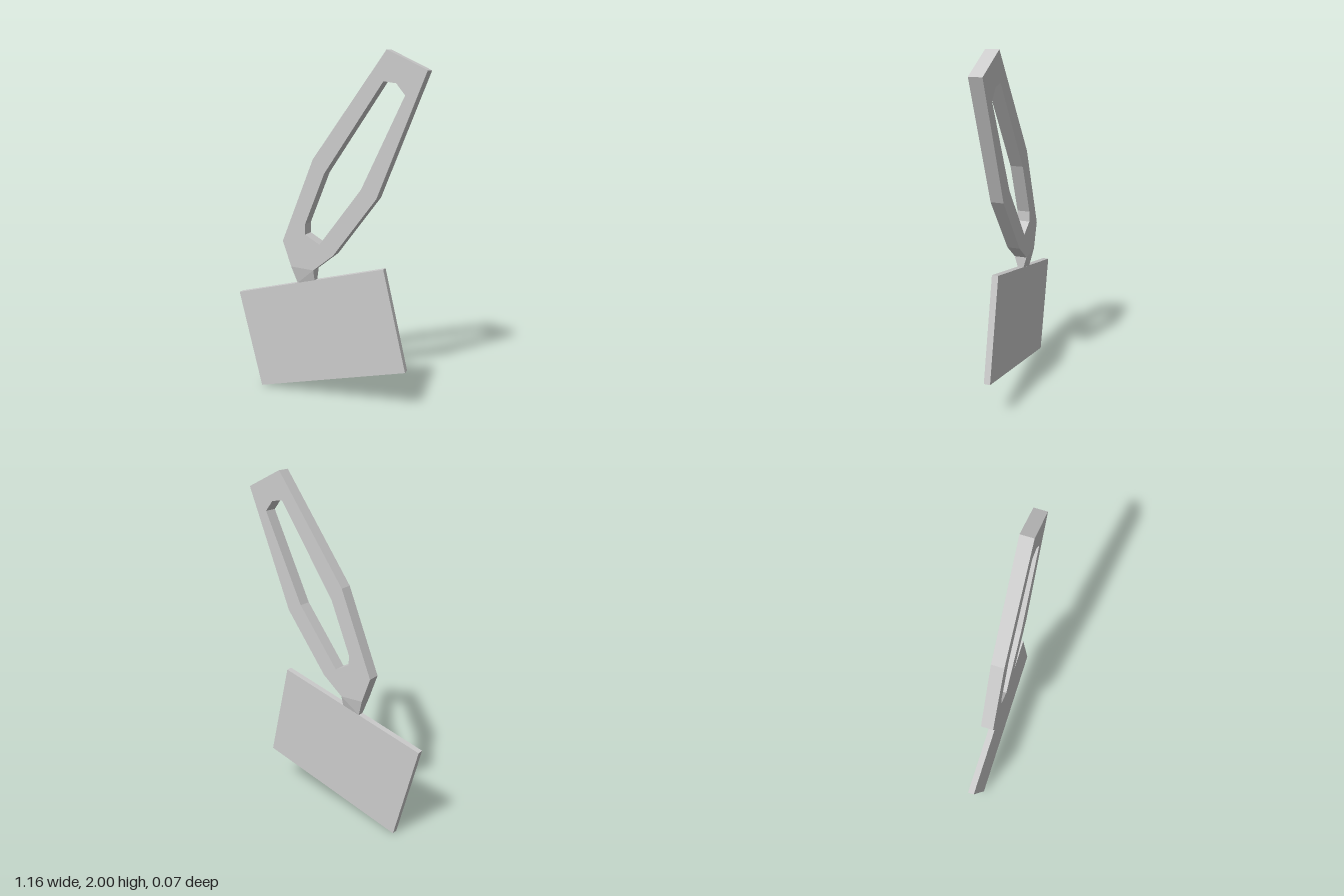
import * as THREE from 'three';

const grey = new THREE.MeshStandardMaterial({ color: 0xcccccc, flatShading: true });
const points = (list) => list.map(([x, y]) => new THREE.Vector2(x, y));

// Flat plate with an outline, optional hole, centred on z = 0
function plate(name, outline, depth, hole) {
  const shape = new THREE.Shape(points(outline));
  if (hole) shape.holes.push(new THREE.Path(points(hole)));
  const geometry = new THREE.ExtrudeGeometry(shape, { depth, bevelEnabled: false });
  geometry.translate(0, 0, -depth / 2);
  const mesh = new THREE.Mesh(geometry, grey);
  mesh.name = name;
  return mesh;
}

// Tapered block joining a lower edge to an upper edge, each [left, right, halfDepth]
function taper(name, lower, upper) {
  const ring = ([[xl, yl], [xr, yr], z]) =>
    [[xl, yl, z], [xr, yr, z], [xr, yr, -z], [xl, yl, -z]];
  const b = ring(lower), t = ring(upper), tris = [];
  for (let i = 0; i < 4; i++) {
    const j = (i + 1) % 4;
    // the back mirrors the front's diagonal
    if (i === 2) tris.push(b[i], b[j], t[i], b[j], t[j], t[i]);
    else tris.push(b[i], b[j], t[j], b[i], t[j], t[i]);
  }
  const geometry = new THREE.BufferGeometry();
  geometry.setAttribute('position', new THREE.Float32BufferAttribute(tris.flat(), 3));
  geometry.computeVertexNormals();
  const mesh = new THREE.Mesh(geometry, grey);
  mesh.name = name;
  return mesh;
}

export function createModel() {
  const model = new THREE.Group();
  model.name = 'cleaver';
  const handleDepth = 0.072, bladeDepth = 0.036;

  // Tilted rectangular blade
  model.add(plate('blade',
    [[-0.435, 0], [0.49, 0.25], [0.35, 0.83], [-0.58, 0.58]], bladeDepth));

  // Angular handle with a long slot
  model.add(plate('handle',
    [[-0.212, 0.787], [-0.07, 0.78], [0.055, 0.88], [0.31, 1.22], [0.577, 1.895],
      [0.355, 2], [-0.07, 1.415], [-0.265, 0.935]],
    handleDepth,
    [[0.34, 1.84], [0.41, 1.83], [0.46, 1.77], [0.22, 1.265], [-0.03, 0.935],
      [-0.12, 0.985], [-0.12, 1.045], [0, 1.34]]));

  // Neck narrowing from the handle to the blade
  model.add(taper('neck',
    [[-0.18, 0.688], [-0.07, 0.717], bladeDepth / 2],
    [[-0.212, 0.787], [-0.07, 0.78], handleDepth / 2]));

  return model;
}
